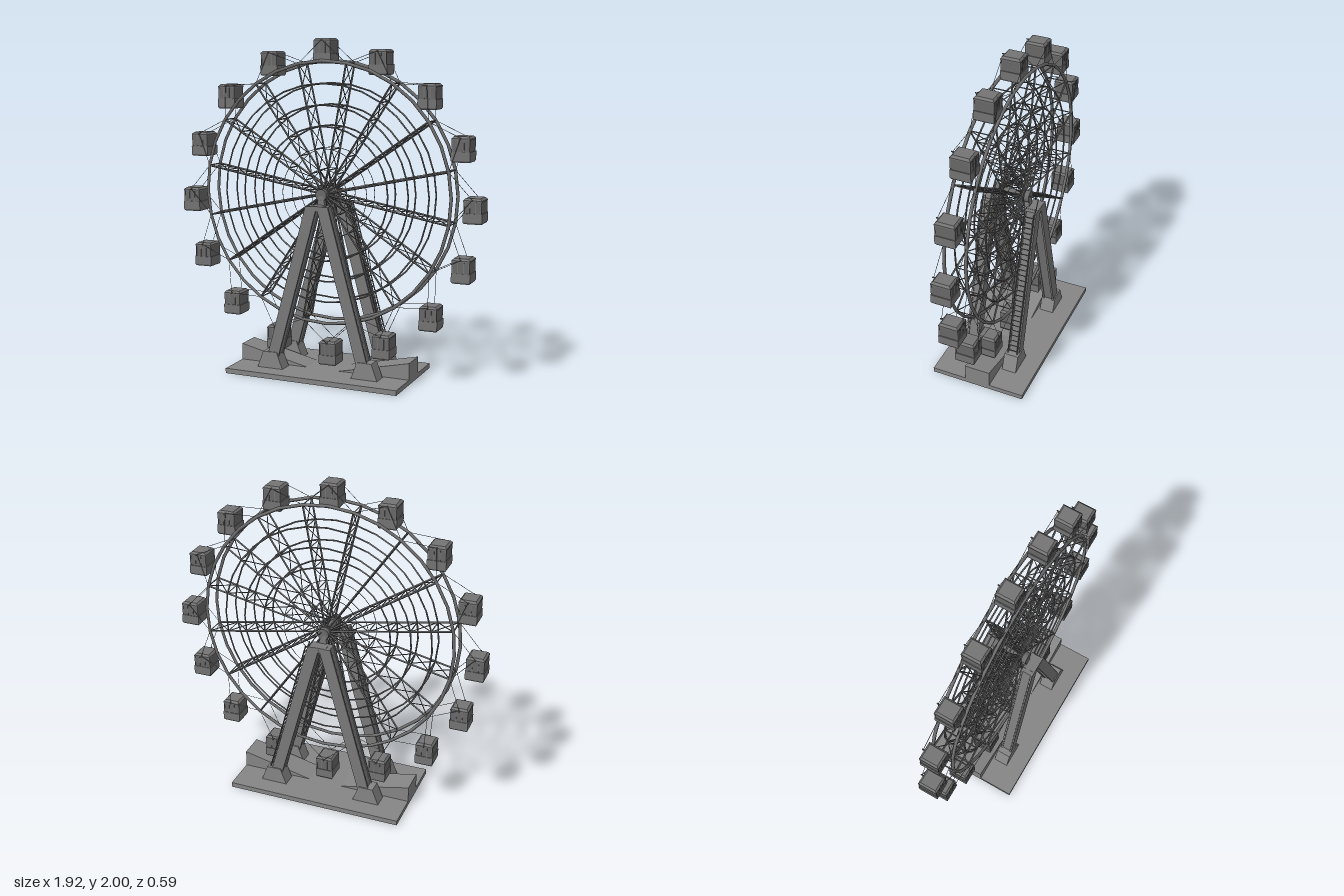
import * as THREE from 'three';
import { mergeGeometries } from 'three/addons/utils/BufferGeometryUtils.js';

const HUB_Y = 1.09, RIM_R = 0.78, RIM_Z = 0.065, COUNT = 16;
const STEP = (Math.PI * 2) / COUNT, TURN = Math.PI / 180;
const paint = (color, flatShading = true) => new THREE.MeshStandardMaterial({ color, flatShading });
const concrete = paint(0x868686), tower = paint(0x7a7a7a), cabinPaint = paint(0x747474), glazing = paint(0x686868);
const steel = paint(0x6a6a6a), rimSteel = paint(0x707070, false);
const V = (x, y, z) => new THREE.Vector3(x, y, z);

// One mesh from many pieces
function part(name, pieces, material) {
  const mesh = new THREE.Mesh(mergeGeometries(pieces.map(g => (g.index ? g.toNonIndexed() : g))), material);
  mesh.name = name;
  return mesh;
}

// Straight bar between two points
function bar(a, b, r, sides = 4) {
  const dir = b.clone().sub(a);
  const g = new THREE.CylinderGeometry(r, r, dir.length(), sides);
  g.applyQuaternion(new THREE.Quaternion().setFromUnitVectors(V(0, 1, 0), dir.normalize()));
  return g.translate((a.x + b.x) / 2, (a.y + b.y) / 2, (a.z + b.z) / 2);
}

const box = (w, h, d, x, y, z) => new THREE.BoxGeometry(w, h, d).translate(x, y, z);

// Box whose top and bottom differ in size
function taper(wTop, dTop, wBottom, dBottom, h, x, y, z) {
  const g = new THREE.BoxGeometry(1, h, 1), p = g.attributes.position;
  for (let i = 0; i < p.count; i++) {
    const top = p.getY(i) > 0;
    p.setX(i, p.getX(i) * (top ? wTop : wBottom));
    p.setZ(i, p.getZ(i) * (top ? dTop : dBottom));
  }
  g.computeVertexNormals();
  return g.translate(x, y, z);
}

// Side outline pushed through z
function slab(points, depth, z) {
  const shape = new THREE.Shape(points.map(([x, y]) => new THREE.Vector2(x, y)));
  return new THREE.ExtrudeGeometry(shape, { depth, bevelEnabled: false }).translate(0, 0, z - depth / 2);
}

const polar = (r, a, z) => V(Math.cos(a) * r, HUB_Y + Math.sin(a) * r, z);
const spokeAngle = i => (i + 0.5) * STEP + TURN;

function buildWheel() {
  const wheel = new THREE.Group();
  wheel.name = 'wheel';
  const radii = [0.145, 0.27, 0.4, 0.525, 0.65, RIM_R];
  const rings = [], rims = [], spokes = [], trusses = [];
  for (const z of [-RIM_Z, RIM_Z]) {
    for (const r of radii) {
      const outer = r === RIM_R;
      const ring = new THREE.TorusGeometry(r, outer ? 0.01 : r < 0.3 ? 0.002 : 0.005, 6, 32);
      ring.rotateZ(spokeAngle(0)).translate(0, HUB_Y, z);
      (outer ? rims : rings).push(ring);
    }
  }
  for (let i = 0; i < COUNT; i++) {
    const a = spokeAngle(i);
    for (const z of [-RIM_Z, RIM_Z]) spokes.push(bar(polar(0.02, a, z), polar(RIM_R, a, z), 0.006));
    // Rungs and crossed braces between the two wheel faces
    radii.forEach((r, k) => {
      trusses.push(bar(polar(r, a, -RIM_Z), polar(r, a, RIM_Z), 0.004));
      const inner = k ? radii[k - 1] : 0.03;
      for (const s of [-1, 1]) trusses.push(bar(polar(inner, a, -s * RIM_Z), polar(r, a, s * RIM_Z), 0.003));
    });
  }
  wheel.add(part('rims', rims, rimSteel), part('innerRings', rings, rimSteel),
    part('spokes', spokes, steel), part('trusses', trusses, steel));

  // Hub drum, axle and bearings
  const drum = (r, length, z) => new THREE.CylinderGeometry(r, r, length, 16).rotateX(Math.PI / 2).translate(0, HUB_Y, z);
  wheel.add(part('hub', [drum(0.022, 0.22, 0), drum(0.035, 0.02, RIM_Z), drum(0.035, 0.02, -RIM_Z),
    drum(0.035, 0.03, 0.097), drum(0.035, 0.03, -0.097)], steel));
  return wheel;
}

// Cabin hung from its top axle at the origin
function buildCabin() {
  const cabin = new THREE.Group();
  cabin.name = 'cabin';
  cabin.add(part('cabinBody', [
    taper(0.112, 0.122, 0.112, 0.122, 0.05, 0, -0.103, 0),
    taper(0.112, 0.122, 0.1, 0.11, 0.01, 0, -0.133, 0),
  ], cabinPaint));
  cabin.add(part('cabinGlazing', [box(0.102, 0.068, 0.114, 0, -0.044, 0)], glazing));
  // Slim posts at the corners and beside the doors
  const frame = [];
  for (const z of [-0.057, 0.057])
    for (const x of [-0.05, -0.018, 0.018, 0.05]) frame.push(box(0.005, 0.068, 0.005, x, -0.044, z));
  cabin.add(part('windowFrame', frame, cabinPaint));
  cabin.add(part('cabinRoof', [
    box(0.108, 0.008, 0.12, 0, -0.008, 0),
    taper(0.085, 0.098, 0.108, 0.12, 0.012, 0, 0.002, 0),
  ], cabinPaint));
  cabin.add(part('cabinAxle', [bar(V(0, -0.003, -0.073), V(0, -0.003, 0.073), 0.004, 6)], steel));
  return cabin;
}

function buildCabins() {
  const cabins = new THREE.Group();
  cabins.name = 'cabins';
  const hangers = [], model = buildCabin();
  for (let i = 0; i < COUNT; i++) {
    const a = i * STEP + TURN, pivot = polar(0.902, a, 0);
    const cabin = model.clone();
    cabin.position.copy(pivot);
    cabins.add(cabin);
    // Thin ties from the axle to the neighbouring spoke ends
    for (const z of [-RIM_Z, RIM_Z])
      for (const s of [-0.5, 0.5]) hangers.push(bar(V(pivot.x, pivot.y, z), polar(RIM_R, a + s * STEP, z), 0.0015));
  }
  cabins.add(part('hangers', hangers, steel));
  return cabins;
}

function buildTowers() {
  const towers = new THREE.Group();
  towers.name = 'towers';
  const bottom = V(0.295, 0.08, 0), top = V(0.035, 1.03, 0);
  const legX = y => THREE.MathUtils.mapLinear(y, bottom.y, top.y, bottom.x, top.x);
  const strip = (s, x0, x1, depth, z) => slab([[s * (bottom.x + x0), bottom.y], [s * (bottom.x + x1), bottom.y],
    [s * (top.x + x1), top.y], [s * (top.x + x0), top.y]], depth, z);
  for (const sz of [-1, 1]) {
    const z = sz * 0.14, legs = [], feet = [], rivets = [];
    for (const sx of [-1, 1]) {
      // Web with a flange along either side
      legs.push(strip(sx, -0.03, 0.03, 0.066, z));
      for (const e of [-1, 1]) legs.push(strip(sx, -0.036, 0.036, 0.012, z + e * 0.032));
      feet.push(taper(0.09, 0.09, 0.165, 0.09, 0.1, sx * 0.305, 0.08, z));
      for (let k = 0; k < 20; k++) {
        const y = 0.16 + k * 0.044;
        for (const e of [-1, 1]) rivets.push(box(0.006, 0.006, 0.006, sx * (legX(y) + 0.036), y, z + e * 0.03));
      }
    }
    towers.add(part('legs', legs, tower), part('feet', feet, concrete), part('rivets', rivets, steel));
    // Cap and bearing pedestal at the apex
    towers.add(part('towerCap', [box(0.08, 0.03, 0.074, 0, 1.017, z),
      taper(0.03, 0.03, 0.05, 0.03, 0.06, 0, 1.055, sz * 0.097)], tower));
  }
  // Ladder on the outer face of one back leg
  const ladder = [];
  for (const z of [-0.17, -0.11])
    ladder.push(bar(V(legX(0.12) + 0.05, 0.12, z), V(legX(1.03) + 0.05, 1.03, z), 0.004));
  for (let y = 0.15; y < 1.03; y += 0.033)
    ladder.push(bar(V(legX(y) + 0.05, y, -0.17), V(legX(y) + 0.05, y, -0.11), 0.004));
  ladder.push(bar(V(legX(1.03) + 0.04, 1.02, -0.17), V(0.02, 1.1, -0.17), 0.003));
  ladder.push(bar(V(0.02, 1.1, -0.17), V(0.01, 1.1, -0.1), 0.003));
  towers.add(part('ladder', ladder, steel));
  return towers;
}

function buildBase() {
  const base = new THREE.Group();
  base.name = 'base';
  base.add(part('platform', [box(1.094, 0.03, 0.594, 0, 0.015, 0)], concrete));
  // Boarding ramps rising towards both ends
  base.add(part('ramps', [-1, 1].map(s =>
    slab([[s * 0.1, 0.029], [s * 0.547, 0.029], [s * 0.547, 0.13]], 0.16, 0)), concrete));
  return base;
}

export function createModel() {
  const model = new THREE.Group();
  model.name = 'ferrisWheel';
  model.add(buildBase(), buildTowers(), buildWheel(), buildCabins());
  return model;
}
